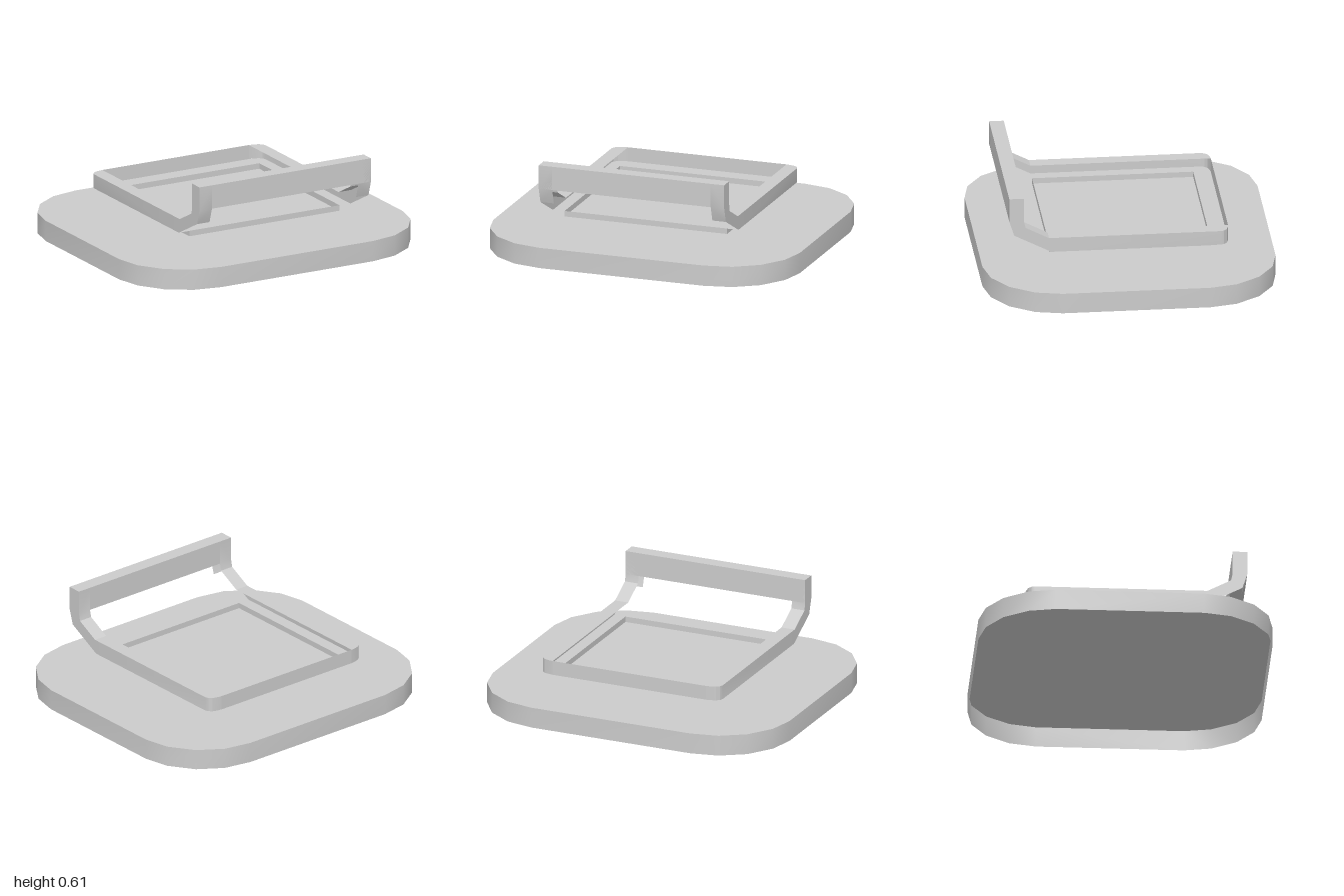
import * as THREE from 'three';
import { toCreasedNormals } from 'three/addons/utils/BufferGeometryUtils.js';

const solid = new THREE.MeshStandardMaterial({ color: 0xcccccc });
const thin = new THREE.MeshStandardMaterial({ color: 0xcccccc, side: THREE.DoubleSide });

// Ribbon of quads between two polylines with the same number of points.
function sheet(name, a, b) {
  const pos = [];
  for (let i = 0; i < a.length - 1; i++) {
    pos.push(...a[i], ...a[i + 1], ...b[i + 1], ...a[i], ...b[i + 1], ...b[i]);
  }
  const geo = new THREE.BufferGeometry();
  geo.setAttribute('position', new THREE.Float32BufferAttribute(pos, 3));
  const mesh = new THREE.Mesh(toCreasedNormals(geo, 0.42), thin);
  mesh.name = name;
  return mesh;
}

// Square base shell with faceted round corners, open underneath.
function makeBase() {
  const base = new THREE.Group();
  base.name = 'base';
  const height = 0.13;
  const corner = [[1, 0.455], [0.963, 0.62], [0.86, 0.77], [0.71, 0.868], [0.535, 0.903]];
  const back = [...corner].reverse();
  const outline = [
    ...corner,
    ...back.map(([x, z]) => [-x, z]),
    ...corner.map(([x, z]) => [-x, -z]),
    ...back.map(([x, z]) => [x, -z]),
  ];
  const loop = [...outline, outline[0]];
  base.add(sheet('baseWall', loop.map(([x, z]) => [x, height, z]), loop.map(([x, z]) => [x, 0, z])));

  const shape = new THREE.Shape(outline.map(([x, z]) => new THREE.Vector2(x, z)));
  const top = new THREE.Mesh(new THREE.ShapeGeometry(shape).rotateX(-Math.PI / 2), thin);
  top.name = 'baseTop';
  top.position.y = height;
  base.add(top);
  return base;
}

const OUT = 0.605, IN = 0.517, PAN = 0.53, LOW = 0.247, TOP = 0.337, BACK = -0.612;
// Rounded rear corner in plan, as [x, z].
const rear = [[IN, BACK], [0.545, -0.608], [0.578, -0.598], [0.597, -0.58], [OUT, -0.56]];
// Upper and lower edges of the upturned front end, as [z, y].
const upper = [[0.5, TOP], [0.645, 0.412], [0.655, 0.457], [0.655, 0.607]];
const lower = [[0.49, LOW], [0.715, 0.363], [0.745, 0.457], [0.745, 0.607]];

// Side rail channel, open inwards: straight along the tray, then bending up at the front.
function makeRail(s) {
  const rail = new THREE.Group();
  rail.name = s > 0 ? 'leftRail' : 'rightRail';
  const outer = (y, edge) => [
    ...rear.map(([x, z]) => [s * x, y, z]),
    ...edge.map(([z, h]) => [s * OUT, h, z]),
  ];
  const inward = (line, x) => line.map(([, y, z]) => [s * x, y, z]);
  const top = outer(TOP, upper), low = outer(LOW, lower);
  rail.add(sheet('railOuterWall', top, low));
  rail.add(sheet('railTop', top, inward(top, IN)));
  const bottom = low.slice(1, rear.length + 1);
  rail.add(sheet('railFloor', bottom, inward(bottom, PAN)));
  const front = low.slice(rear.length + 1);
  rail.add(sheet('railFront', front, inward(front, IN)));
  return rail;
}

// Shallow pan hanging below the frame, with the thin rear wall and ledge.
function makeTray() {
  const tray = new THREE.Group();
  tray.name = 'tray';
  const w = PAN, b = -0.505, f = 0.488, y = 0.212;
  const rim = (h) => [[w, h, f], [-w, h, f], [-w, h, b], [w, h, b], [w, h, f]];
  tray.add(sheet('panWalls', rim(LOW), rim(y)));
  tray.add(sheet('panFloor', [[-w, y, b], [w, y, b]], [[-w, y, f], [w, y, f]]));
  tray.add(sheet('rearLedge', [[-w, LOW, BACK], [w, LOW, BACK]], [[-w, LOW, b], [w, LOW, b]]));
  tray.add(sheet('rearWall', [[-IN, LOW, BACK], [IN, LOW, BACK]], [[-IN, TOP, BACK], [IN, TOP, BACK]]));
  return tray;
}

export function createModel() {
  const model = new THREE.Group();
  model.name = 'trayOnBase';
  model.add(makeBase());

  const frame = new THREE.Group();
  frame.name = 'frame';
  frame.position.x = 0.007;
  frame.add(makeTray(), makeRail(1), makeRail(-1));

  // Handle bar joining the raised rail ends
  const bar = new THREE.Mesh(new THREE.BoxGeometry(2 * OUT, 0.15, 0.09), solid);
  bar.name = 'handleBar';
  bar.position.set(0, 0.532, 0.7);
  frame.add(bar);

  model.add(frame);
  return model;
}
